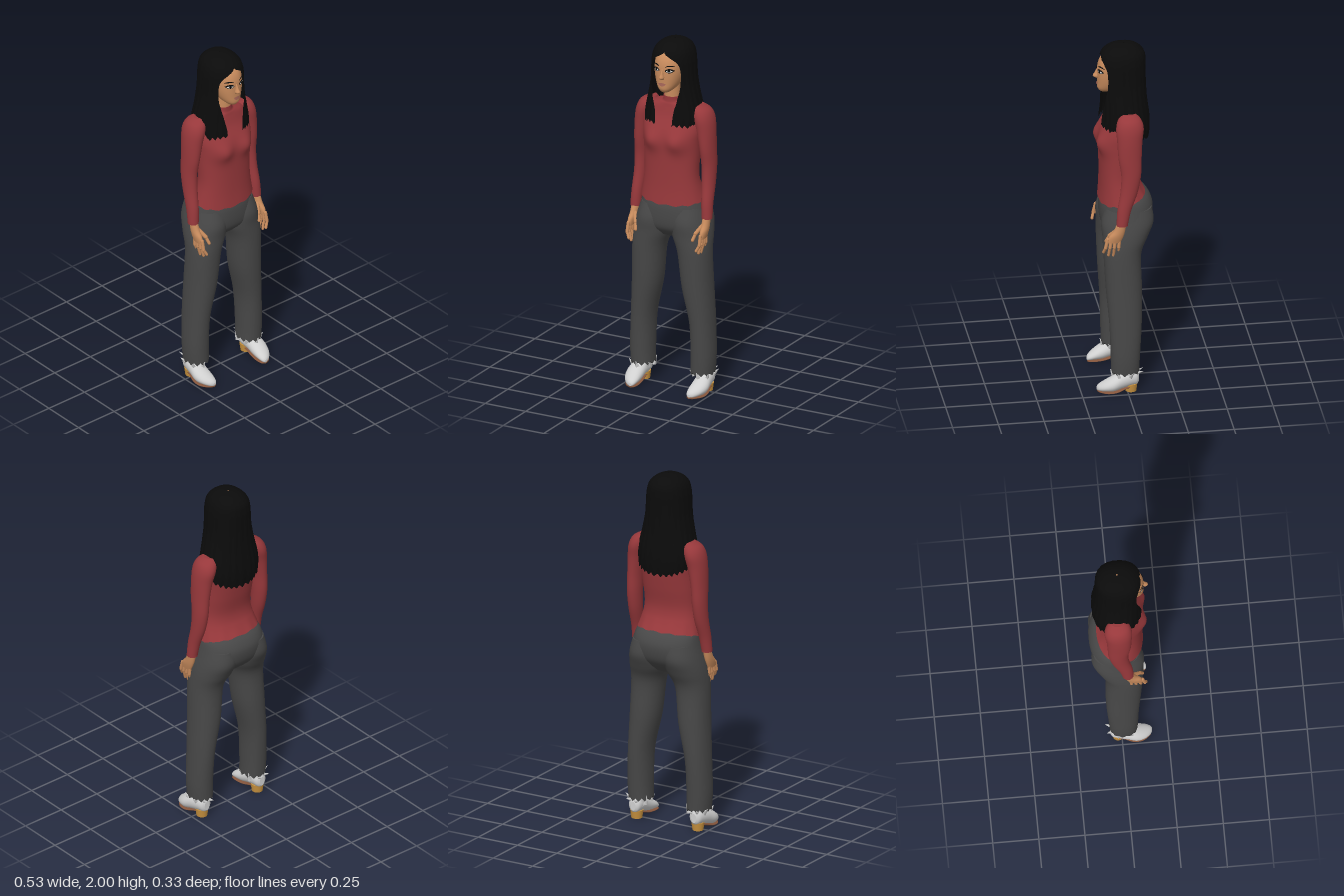
import * as THREE from 'three';

const mat = (name, color, double) => {
  const m = new THREE.MeshStandardMaterial({ color });
  m.name = name;
  if (double) m.side = THREE.DoubleSide;
  return m;
};

// Smooth grid of points; rows run downwards, columns run to the right seen from outside
function surface(rows, cols, fn, closed = false, caps = false) {
  const pos = [], idx = [], w = closed ? cols : cols + 1;
  for (let i = 0; i <= rows; i++) for (let j = 0; j < w; j++) pos.push(...fn(i / rows, j / cols));
  for (let i = 0; i < rows; i++) for (let j = 0; j < cols; j++) {
    const k = (j + 1) % w, a = i * w + j, b = i * w + k, c = a + w, d = b + w;
    idx.push(a, c, d, a, d, b);
  }
  if (caps) for (const row of [0, rows]) {
    const start = pos.length / 3, mid = [0, 0, 0];
    for (let j = 0; j < w; j++) for (let k = 0; k < 3; k++) {
      const p = pos[(row * w + j) * 3 + k];
      pos.push(p);
      mid[k] += p / w;
    }
    pos.push(...mid);
    for (let j = 0; j < w; j++) {
      const p = start + j, q = start + (j + 1) % w;
      idx.push(start + w, ...(row ? [q, p] : [p, q]));
    }
  }
  const g = new THREE.BufferGeometry();
  g.setAttribute('position', new THREE.Float32BufferAttribute(pos, 3));
  g.setIndex(idx);
  g.computeVertexNormals();
  return g;
}

// Smooth blend through key sections [y, cx, cz, rx, rz]
function sectionAt(keys, t) {
  const f = t * (keys.length - 1), i = Math.min(Math.floor(f), keys.length - 2), u = f - i;
  const k = n => keys[Math.max(0, Math.min(keys.length - 1, n))];
  return keys[0].map((_, c) => {
    const [a, b, d, e] = [k(i - 1)[c], k(i)[c], k(i + 1)[c], k(i + 2)[c]];
    return b + 0.5 * u * (d - a + u * (2 * a - 5 * b + 4 * d - e + u * (3 * (b - d) + e - a)));
  });
}
const spow = (v, e) => Math.sign(v) * Math.abs(v) ** e;

// Closed body of rounded sections, keys from top to bottom
function loft(keys, { s = 1, n = 36, p = 2, warp } = {}) {
  return surface((keys.length - 1) * 5, n, (t, c) => {
    const [y, cx, cz, rx, rz] = sectionAt(keys, t), a = c * Math.PI * 2;
    const v = [s * cx + rx * spow(Math.sin(a), 2 / p), y, cz + rz * spow(Math.cos(a), 2 / p)];
    return warp ? warp(v, a, t) : v;
  }, true, true);
}
const bell = (x, c, r) => Math.exp(-(((x - c) / r) ** 2));

export function createModel() {
  const model = new THREE.Group();
  model.name = 'woman';
  const skin = mat('skin', 0xc68a5c), knit = mat('red knit', 0x97383b), cloth = mat('grey cloth', 0x474747),
    black = mat('black hair', 0x0b0b0b, true), white = mat('shoe white', 0xd0d0d0), tan = mat('heel tan', 0xc8923f),
    brown = mat('sole brown', 0x84553c), lip = mat('lips', 0xa9685a), eyeWhite = mat('eye white', 0xe6e2dc);
  const add = (name, geo, m, parent = model) => {
    const mesh = new THREE.Mesh(geo, m);
    mesh.name = name;
    parent.add(mesh);
    return mesh;
  };
  const group = name => {
    const g = new THREE.Group();
    g.name = name;
    model.add(g);
    return g;
  };

  // Head and neck
  const headKeys = [[1.97, 0, 0, 0.035, 0.045], [1.95, 0, 0, 0.06, 0.08], [1.92, 0, 0.012, 0.077, 0.102],
    [1.88, 0, 0.02, 0.083, 0.111], [1.83, 0, 0.032, 0.08, 0.103], [1.78, 0, 0.048, 0.066, 0.087],
    [1.745, 0, 0.068, 0.046, 0.066], [1.725, 0, 0.085, 0.024, 0.036]];
  const headP = 2.3, head = group('head');
  add('face', loft(headKeys, { p: headP, n: 48 }), skin, head);
  add('neck', new THREE.CylinderGeometry(0.042, 0.045, 0.13, 24).translate(0, 1.705, 0.02), skin, head);
  add('nose', loft([[1.862, 0, 0.127, 0.006, 0.008], [1.835, 0, 0.134, 0.008, 0.015],
    [1.815, 0, 0.139, 0.014, 0.02], [1.802, 0, 0.133, 0.008, 0.01]], { n: 16 }), skin, head);

  // Thin plates that follow the face
  const faceZ = (x, y) => {
    let lo = 0, hi = 1;
    for (let i = 0; i < 30; i++) {
      const m = (lo + hi) / 2;
      if (sectionAt(headKeys, m)[0] > y) lo = m; else hi = m;
    }
    const [, , cz, rx, rz] = sectionAt(headKeys, lo);
    return cz + rz * Math.max(0, 1 - Math.abs(x / rx) ** headP) ** (1 / headP);
  };
  const plate = (cx, cy, w, h, lift, { bend = 0, e = 1 } = {}) => surface(4, 12, (t, c) => {
    const u = c * 2 - 1, x = cx + u * w;
    const y = cy + (1 - 2 * t) * h * (1 - u * u) ** e - bend * u * u;
    return [x, y, faceZ(x, y) + lift];
  });
  add('upperLip', plate(0, 1.779, 0.025, 0.005, 0.003, { bend: 0.002 }), lip, head);
  add('lowerLip', plate(0, 1.77, 0.021, 0.006, 0.004, { bend: -0.005 }), lip, head);
  for (const s of [1, -1]) {
    add('lashes', plate(s * 0.039, 1.855, 0.024, 0.012, 0.0015), black, head);
    add('eye', plate(s * 0.039, 1.853, 0.018, 0.0065, 0.0025), eyeWhite, head);
    add('iris', plate(s * 0.039, 1.854, 0.0065, 0.0065, 0.0035, { e: 0.5 }), black, head);
    add('brow', plate(s * 0.041, 1.882, 0.025, 0.0035, 0.002, { bend: 0.007 }), black, head);
  }

  // Long hair: an open shell parted at the face; last column is the opening half angle
  const hairKeys = [[2, 0, -0.01, 0.004, 0.004, 0], [1.994, 0, -0.008, 0.045, 0.055, 0], [1.975, 0, -0.006, 0.08, 0.092, 0],
    [1.945, 0, -0.004, 0.103, 0.118, 0.03], [1.9, 0, -0.002, 0.115, 0.126, 0.62], [1.85, 0, -0.002, 0.119, 0.126, 0.8],
    [1.77, 0, -0.004, 0.125, 0.125, 0.76], [1.7, 0, -0.008, 0.14, 0.126, 0.55], [1.63, 0, -0.014, 0.158, 0.132, 0.36],
    [1.58, 0, -0.013, 0.165, 0.135, 0.29], [1.54, 0, -0.008, 0.163, 0.134, 0.28]];
  add('hair', surface(60, 120, (t, c) => {
    const [y, , cz, rx, rz, open] = sectionAt(hairKeys, t);
    const gap = Math.max(0, open), a = gap + c * (Math.PI * 2 - 2 * gap);
    const back = ((1 - Math.cos(a)) / 2) ** 1.5, strand = 1 + 0.014 * Math.sin(23 * a) * t;
    const drop = Math.max(0, 1.75 - y) * (0.4 * back + 0.04 * Math.sin(31 * a) * t);
    return [rx * strand * spow(Math.sin(a), 0.9), y - drop, cz + rz * strand * spow(Math.cos(a), 0.9)];
  }), black);

  // Sweater body with bust and a wavy hem that rises at the back
  const sweater = group('sweater');
  add('sweaterBody', loft([[1.682, 0, 0.015, 0.048, 0.05], [1.655, 0, 0.012, 0.054, 0.054], [1.642, 0, 0.002, 0.09, 0.068],
    [1.62, 0, -0.01, 0.14, 0.085], [1.57, 0, -0.013, 0.17, 0.102], [1.5, 0, 0.003, 0.172, 0.115],
    [1.44, 0, 0.012, 0.165, 0.117], [1.36, 0, 0.017, 0.16, 0.109], [1.25, 0, 0.025, 0.156, 0.099],
    [1.16, 0, 0.016, 0.168, 0.109], [1.08, 0, 0.004, 0.184, 0.126]], {
    p: 2.25, n: 64,
    warp: ([x, y, z], a, t) => {
      if (z > 0) z += 0.026 * bell(y, 1.44, 0.055) * bell(Math.abs(x), 0.078, 0.05);
      const low = Math.max(0, (1.2 - y) / 0.12);
      y += low * (0.022 * (1 - Math.cos(a)) + 0.004 * Math.sin(13 * a));
      return [x, y, z];
    },
  }), knit);

  // Trousers: seat
  const trousers = group('trousers');
  add('seat', loft([[1.13, 0, 0.004, 0.165, 0.112], [1.1, 0, -0.014, 0.18, 0.128], [1.05, 0, -0.02, 0.192, 0.143],
    [0.98, 0, -0.015, 0.207, 0.138], [0.93, 0, -0.005, 0.205, 0.115], [0.885, 0, 0, 0.12, 0.07]], { p: 2.3, n: 48 }), cloth, trousers);

  for (const s of [1, -1]) {
    const side = s > 0 ? 'left' : 'right';
    const limb = (name, a, b, r, m, parent) => {
      const p = new THREE.Vector3(...a), q = new THREE.Vector3(...b);
      p.x *= s; q.x *= s;
      const d = q.clone().sub(p), mesh = add(name, new THREE.CapsuleGeometry(r, d.length(), 4, 10), m, parent);
      mesh.position.copy(p).add(q).multiplyScalar(0.5);
      mesh.quaternion.setFromUnitVectors(new THREE.Vector3(0, 1, 0), d.normalize());
    };

    // Sleeve
    add(side + 'Sleeve', loft([[1.64, 0.145, -0.018, 0.025, 0.035], [1.615, 0.16, -0.018, 0.05, 0.062],
      [1.57, 0.176, -0.018, 0.055, 0.075], [1.5, 0.19, -0.015, 0.05, 0.069], [1.4, 0.201, -0.015, 0.042, 0.063],
      [1.3, 0.206, -0.02, 0.039, 0.054], [1.2, 0.209, -0.008, 0.036, 0.047], [1.1, 0.215, 0.018, 0.032, 0.038],
      [1.03, 0.219, 0.029, 0.03, 0.032], [1.01, 0.22, 0.031, 0.029, 0.031]], { s }), knit, sweater);

    // Hand
    const hand = group(side + 'Hand');
    add('palm', loft([[1.04, 0.219, 0.028, 0.02, 0.024], [0.98, 0.22, 0.045, 0.021, 0.031],
      [0.945, 0.222, 0.064, 0.018, 0.04], [0.91, 0.222, 0.078, 0.012, 0.038]], { s, n: 24 }), skin, hand);
    [0.838, 0.826, 0.83, 0.85].forEach((tip, i) => {
      const mid = [0.223, 0.88, 0.05 + 0.024 * i];
      limb('finger', [0.222, 0.93, 0.047 + 0.021 * i], mid, 0.0095, skin, hand);
      limb('fingertip', mid, [0.208, tip, 0.05 + 0.027 * i], 0.008, skin, hand);
    });
    limb('thumb', [0.208, 0.975, 0.06], [0.185, 0.935, 0.095], 0.0115, skin, hand);
    limb('thumbTip', [0.185, 0.935, 0.095], [0.176, 0.9, 0.113], 0.009, skin, hand);

    // Trouser leg with frayed hem
    add(side + 'Leg', loft([[1.06, 0.097, -0.022, 0.09, 0.125], [0.98, 0.105, -0.015, 0.104, 0.142],
      [0.9, 0.116, -0.001, 0.108, 0.124], [0.8, 0.139, 0.018, 0.092, 0.102], [0.6, 0.154, 0.012, 0.083, 0.098],
      [0.4, 0.18, 0.007, 0.066, 0.088], [0.22, 0.187, 0.009, 0.066, 0.08], [0.115, 0.184, 0.01, 0.064, 0.076]], {
      s, p: 2.15, n: 48,
      warp: ([x, y, z], a, t) => [x, y + (t > 0.97 ? 0.009 * Math.sin(12 * a) : 0), z],
    }), cloth, trousers);

    // Shoe: sections run from toe to heel, then turn to lie along z
    const shoe = group(side + 'Shoe');
    const lying = keys => loft(keys, { s, n: 28 }).rotateX(Math.PI / 2);
    add('upper', lying([[0.165, 0.181, -0.02, 0.008, 0.008], [0.155, 0.186, -0.025, 0.024, 0.017],
      [0.125, 0.195, -0.036, 0.041, 0.028], [0.08, 0.202, -0.05, 0.049, 0.042], [0.03, 0.2, -0.07, 0.045, 0.049],
      [-0.02, 0.195, -0.08, 0.041, 0.048], [-0.05, 0.193, -0.078, 0.033, 0.042], [-0.062, 0.193, -0.075, 0.016, 0.026]]), white, shoe);
    add('ankle', new THREE.CylinderGeometry(0.042, 0.04, 0.09, 20).translate(s * 0.193, 0.115, -0.01), white, shoe);
    add('sole', lying([[0.162, 0.182, -0.008, 0.01, 0.006], [0.15, 0.187, -0.007, 0.027, 0.007],
      [0.11, 0.198, -0.007, 0.042, 0.007], [0.06, 0.202, -0.012, 0.042, 0.008], [0.01, 0.198, -0.026, 0.032, 0.008],
      [-0.03, 0.195, -0.034, 0.03, 0.008]]), brown, shoe);
    add('heel', new THREE.CylinderGeometry(0.036, 0.03, 0.045, 20).translate(s * 0.194, 0.0225, -0.02), tan, shoe);

    // Torn lining points around the ankle: [x, z, base y, tilt out, height]
    for (const [angle, y, tilt, h] of [[0, 0.115, 0.5, 0.04], [0.9, 0.11, 0.6, 0.045], [1.9, 0.115, 0.8, 0.05],
      [2.7, 0.115, 1.2, 0.05], [3.4, 0.11, 1.3, 0.045], [4.3, 0.115, 0.3, 0.06], [5.3, 0.11, 0.7, 0.04]]) {
      const frill = add('frill', new THREE.ConeGeometry(0.014, h, 4), white, shoe);
      frill.rotation.set(tilt, s * angle, 0, 'YXZ');
      frill.position.set(s * (0.188 + 0.062 * Math.sin(angle)), y, 0.005 + 0.078 * Math.cos(angle));
    }
  }
  return model;
}
